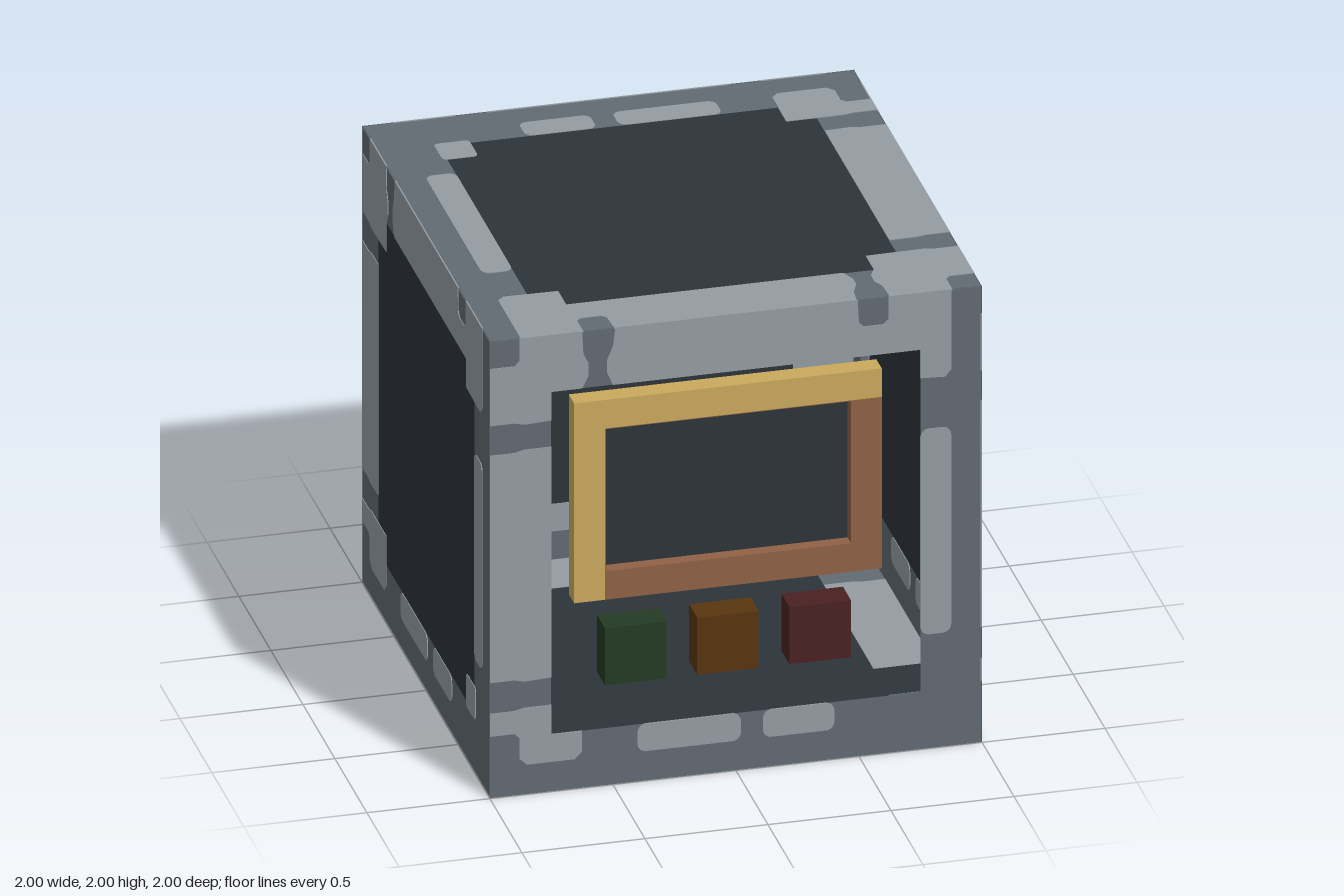
import * as THREE from 'three';

const mat = (name, color, double) => {
  const m = new THREE.MeshStandardMaterial({ color });
  m.name = name;
  if (double) m.side = THREE.DoubleSide;
  return m;
};

export function createModel() {
  const M = {
    steel: mat('steel grey', 0x616a72, true),
    light: mat('light grey', 0x949ca3, true),
    dark: mat('dark slate', 0x2d343a, true),
    gold: mat('gold', 0xc9a95d),
    bronze: mat('bronze', 0x8f6146),
    green: mat('green', 0x233b23),
    orange: mat('orange', 0x59350f),
    red: mat('red', 0x4a2122),
  };
  const root = new THREE.Group();
  root.name = 'machineBlock';

  const add = (parent, name, geo, material, x = 0, y = 0, z = 0) => {
    const m = new THREE.Mesh(geo, material);
    m.name = name;
    m.position.set(x, y, z);
    parent.add(m);
    return m;
  };
  const poly = (pts) => new THREE.Shape(pts.map(([x, y]) => new THREE.Vector2(x, y)));
  const rect = (x0, y0, x1, y1) => poly([[x0, y0], [x1, y0], [x1, y1], [x0, y1]]);
  // rectangle with rounded corners
  const pill = (x0, y0, x1, y1, r = 0.035) => {
    const s = new THREE.Shape();
    s.absarc(x1 - r, y1 - r, r, 0, Math.PI / 2);
    s.absarc(x0 + r, y1 - r, r, Math.PI / 2, Math.PI);
    s.absarc(x0 + r, y0 + r, r, Math.PI, Math.PI * 1.5);
    s.absarc(x1 - r, y0 + r, r, Math.PI * 1.5, Math.PI * 2);
    return s;
  };
  const extrude = (shape, depth) =>
    new THREE.ExtrudeGeometry(shape, { depth, bevelEnabled: false, curveSegments: 4 });

  // light worn patches of one wall; an open wall has none inside its opening
  const patches = (open) => {
    const k = open ? 0.75 : 0.625;
    const list = [
      poly([[-1, 0.88], [-0.9, 0.88], [-0.88, 0.9], [-0.88, 1], [-0.625, 1], [-0.62, 0.9], [-0.6, 0.86],
        [-0.6, 0.8], [-0.625, 0.75], [-k, 0.75], [-k, 0.625], [-0.86, 0.62], [-0.9, 0.63], [-1, 0.63]]),
      poly([[-0.49, 1], [0.495, 1], [0.5, 0.9], [0.52, 0.88], [0.6, 0.88], [0.62, 0.9], [0.62, 1],
        [0.875, 1], [0.875, 0.65], [0.85, 0.62], [k, 0.625], [k, 0.75], [-0.5, 0.75], [-0.525, 0.81],
        [-0.525, 0.86], [-0.5, 0.92]]),
      poly([[-1, 0.5], [-0.9, 0.5], [-0.86, 0.51], [-0.75, 0.51], [-0.75, -0.5], [-0.86, -0.505],
        [-0.9, -0.495], [-1, -0.495]]),
      poly([[-1, -0.63], [-0.9, -0.63], [-0.86, -0.62], [-k, -0.62], [-k, -0.75], [-0.626, -0.75],
        [-0.626, -0.84], [-0.655, -0.87], [-0.85, -0.87], [-0.88, -0.84], [-0.88, -0.75], [-0.9, -0.73],
        [-1, -0.73]]),
      pill(-0.4, -0.87, 0.02, -0.75),
      pill(0.11, -0.87, 0.4, -0.75),
      pill(0.75, -0.5, 0.875, 0.4),
    ];
    if (!open) list.push(pill(0.625, -0.77, 0.77, -0.625, 0.02));
    return list;
  };

  // six walls of the hollow shell: name, right direction, up direction
  const walls = [
    ['front', [1, 0, 0], [0, 1, 0]],
    ['back', [-1, 0, 0], [0, 1, 0]],
    ['left', [0, 0, -1], [0, 1, 0]],
    ['right', [0, 0, 1], [0, 1, 0]],
    ['top', [-1, 0, 0], [0, 0, 1]],
    ['bottom', [-1, 0, 0], [0, 0, -1]],
  ];
  for (const [name, a, b] of walls) {
    const u = new THREE.Vector3(...a), v = new THREE.Vector3(...b);
    const n = u.clone().cross(v);
    const wall = new THREE.Group();
    wall.name = name + 'Wall';
    wall.quaternion.setFromRotationMatrix(new THREE.Matrix4().makeBasis(u, v, n));
    wall.position.copy(n).multiplyScalar(0.997);
    wall.position.y += 1;
    const open = name === 'front';
    const ring = rect(-1, -1, 1, 1);
    ring.holes.push(rect(-0.75, -0.75, 0.75, 0.75));
    add(wall, name + 'Border', new THREE.ShapeGeometry(ring), M.steel);
    if (!open) add(wall, name + 'Panel', new THREE.PlaneGeometry(1.5, 1.5), M.dark);
    add(wall, name + 'Patches', extrude(patches(open), 0.006), M.light, 0, 0, -0.003);
    root.add(wall);
  }

  // ledge behind the lower edge of the opening
  const ledge = add(root, 'ledge', new THREE.PlaneGeometry(1.98, 0.24), M.dark, 0, 0.25, 0.87);
  ledge.rotation.x = -Math.PI / 2;

  // two-tone display frame
  const display = new THREE.Group();
  display.name = 'display';
  root.add(display);
  add(display, 'frameTopLeft', extrude(poly([[-0.625, 0.75], [-0.5, 0.75], [-0.5, 1.5], [0.625, 1.5],
    [0.625, 1.625], [-0.625, 1.625]]), 0.085), M.gold, 0, 0, 0.79);
  add(display, 'frameBottomRight', extrude(poly([[-0.5, 0.75], [0.625, 0.75], [0.625, 1.5], [0.5, 1.5],
    [0.5, 0.875], [-0.5, 0.875]]), 0.085), M.bronze, 0, 0, 0.79);
  add(display, 'frameLinerLeft', new THREE.BoxGeometry(0.004, 0.625, 0.083), M.bronze, -0.498, 1.1875, 0.832);
  add(display, 'frameLinerTop', new THREE.BoxGeometry(1, 0.004, 0.083), M.bronze, 0, 1.498, 0.832);
  add(display, 'screen', new THREE.BoxGeometry(1, 0.625, 0.03), M.dark, 0, 1.1875, 0.806);

  // push buttons
  [['green', -0.375], ['orange', 0], ['red', 0.375]].forEach(([c, x]) =>
    add(root, c + 'Button', new THREE.BoxGeometry(0.25, 0.25, 0.125), M[c], x, 0.5, 0.8125));

  return root;
}
